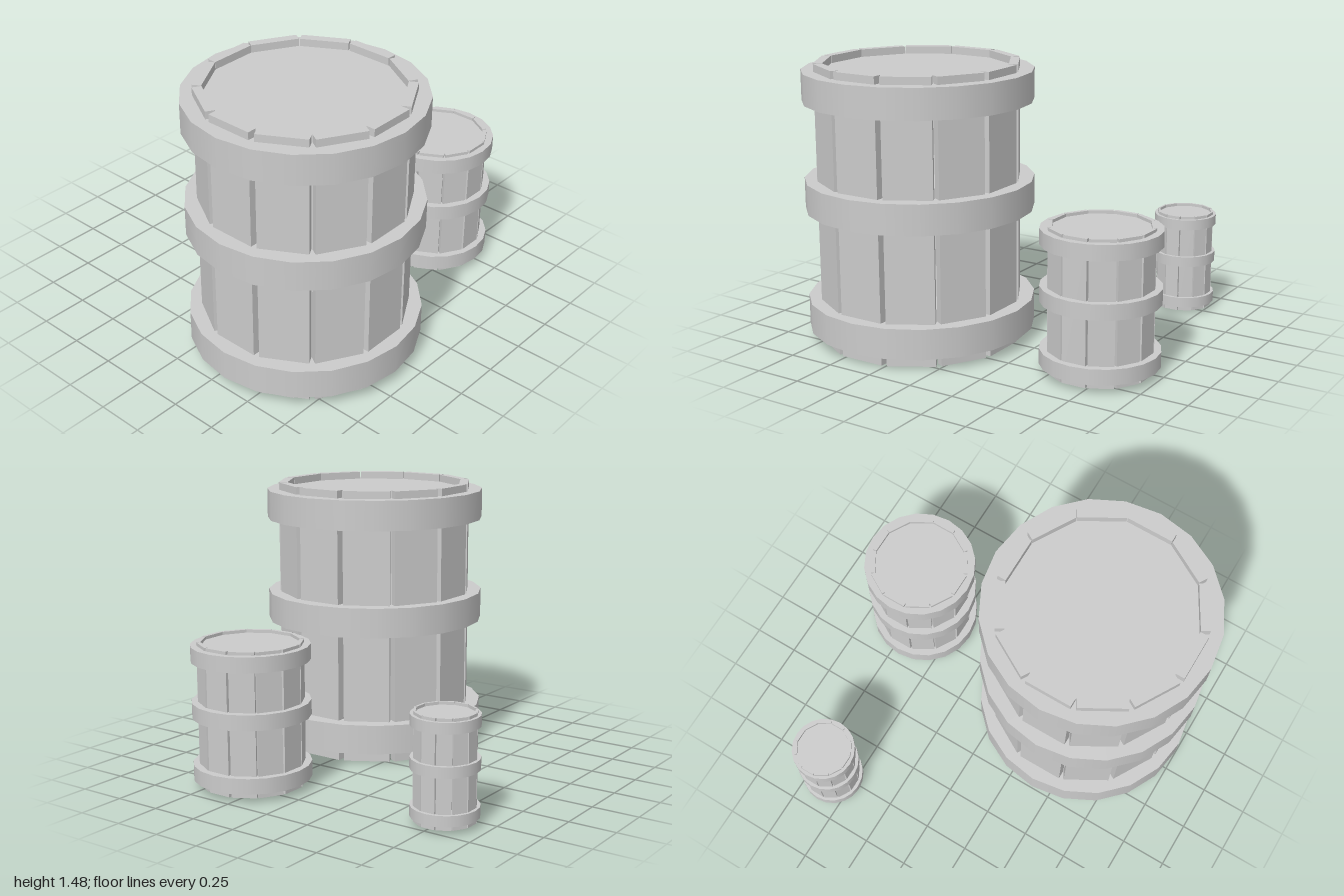
import * as THREE from 'three';

const material = new THREE.MeshStandardMaterial({ color: 0xcccccc });
const STAVES = 12;
const HOOP_SIDES = 20;

// One barrel: a ring of flat staves held by three solid hoops (the outer two close the ends)
function barrel({ name, x, z, bottom, top, radius, thickness, staveWidth, hoopRadius, hoops }) {
  const group = new THREE.Group();
  group.name = name;
  group.position.set(x, 0, z);

  const staves = new THREE.Group();
  staves.name = 'staves';
  const staveGeometry = new THREE.BoxGeometry(staveWidth, top - bottom, thickness);
  const r = radius - thickness / 2;
  for (let i = 0; i < STAVES; i++) {
    const a = (i / STAVES) * Math.PI * 2;
    const stave = new THREE.Mesh(staveGeometry, material);
    stave.name = 'stave';
    // the ring is very slightly longer front to back
    stave.position.set(Math.sin(a) * r, (bottom + top) / 2, Math.cos(a) * r * 1.012);
    stave.rotation.y = a;
    staves.add(stave);
  }
  group.add(staves);

  const hoopNames = ['bottomHoop', 'middleHoop', 'topHoop'];
  hoops.forEach(([low, high], i) => {
    const hoop = new THREE.Mesh(
      new THREE.CylinderGeometry(hoopRadius, hoopRadius, high - low, HOOP_SIDES), material);
    hoop.name = hoopNames[i];
    hoop.position.y = (low + high) / 2;
    group.add(hoop);
  });
  return group;
}

export function createModel() {
  const model = new THREE.Group();
  model.name = 'barrels';
  model.add(
    barrel({
      name: 'largeBarrel', x: -0.398, z: 0.345, bottom: 0, top: 1.475,
      radius: 0.519, thickness: 0.048, staveWidth: 0.25, hoopRadius: 0.602,
      hoops: [[0.064, 0.224], [0.705, 0.865], [1.275, 1.435]],
    }),
    barrel({
      name: 'mediumBarrel', x: 0.692, z: 0.345, bottom: 0.016, top: 0.764,
      radius: 0.263, thickness: 0.022, staveWidth: 0.13, hoopRadius: 0.306,
      hoops: [[0.048, 0.129], [0.375, 0.456], [0.667, 0.748]],
    }),
    barrel({
      name: 'smallBarrel', x: 0.612, z: -0.777, bottom: 0.022, top: 0.564,
      radius: 0.15, thickness: 0.012, staveWidth: 0.074, hoopRadius: 0.17,
      hoops: [[0.045, 0.1], [0.281, 0.337], [0.493, 0.549]],
    }),
  );
  return model;
}
